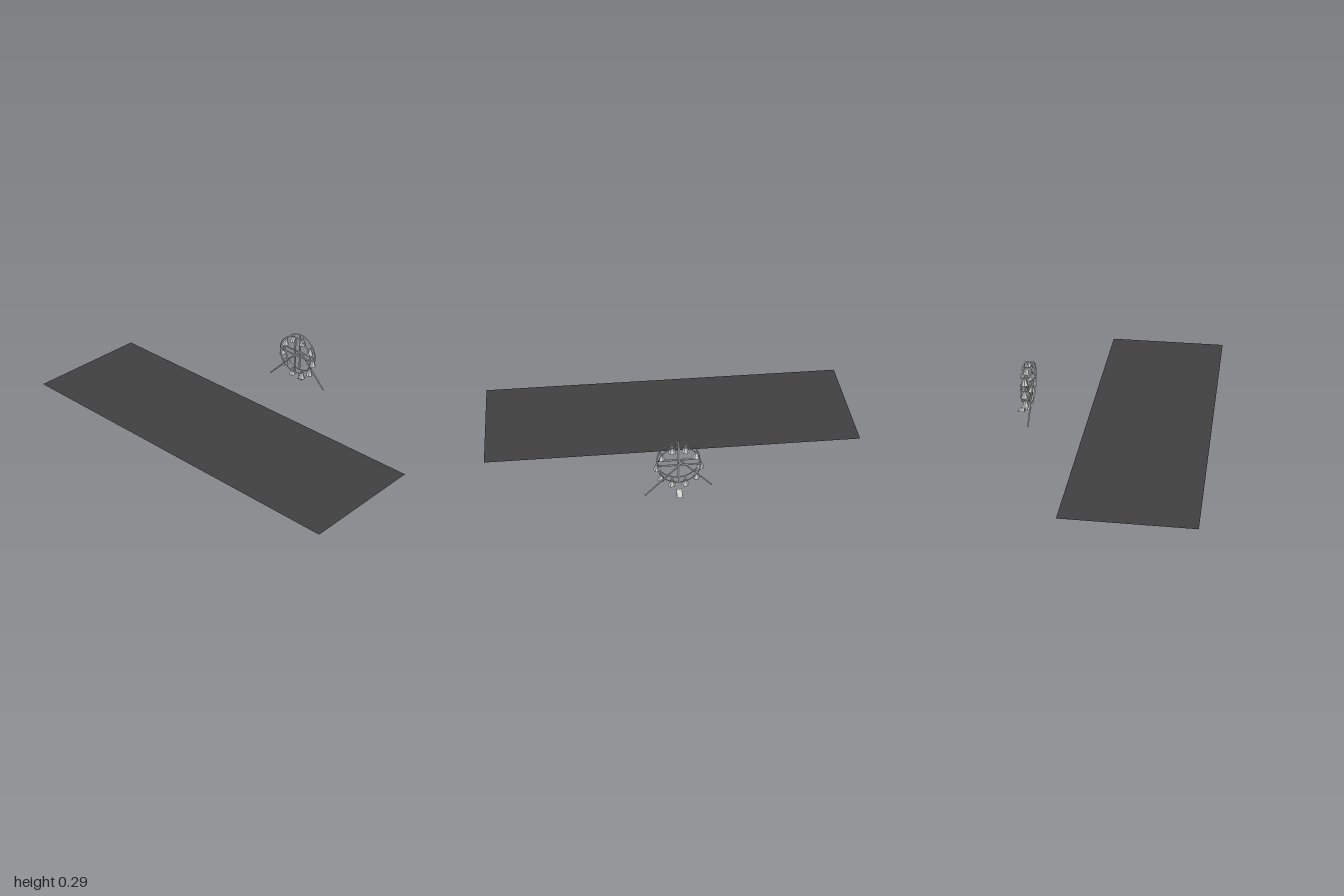
import * as THREE from 'three';

const grey = new THREE.MeshStandardMaterial({ color: 0xcccccc, flatShading: true, side: THREE.DoubleSide });
const asphalt = new THREE.MeshStandardMaterial({ color: 0x404040, side: THREE.DoubleSide });

const HUB = new THREE.Vector3(0.463, 0.178, 0.014); // wheel centre
const R = 0.109;                                    // wheel radius
const RING_X = 0.02;                                // ring offset from the hub

function add(parent, name, geometry, x = 0, y = 0, z = 0, material = grey) {
  const mesh = new THREE.Mesh(geometry, material);
  mesh.name = name;
  mesh.position.set(x, y, z);
  parent.add(mesh);
  return mesh;
}

// Round bar along x
function crossBar(parent, name, radius, length, y, z) {
  const bar = add(parent, name, new THREE.CylinderGeometry(radius, radius, length, 8), 0, y, z);
  bar.rotation.z = Math.PI / 2;
}

// Flat hoop around the x axis
function hoop() {
  const w = 0.0035, t = 0.001;
  const profile = [[R - t, -w], [R + t, -w], [R + t, w], [R - t, w], [R - t, -w]]
    .map(([r, h]) => new THREE.Vector2(r, h));
  return new THREE.LatheGeometry(profile, 48).rotateZ(Math.PI / 2);
}

export function createModel() {
  const model = new THREE.Group();
  model.name = 'fairground';

  // Flat ground strip beside the wheel
  const ground = add(model, 'groundStrip', new THREE.PlaneGeometry(0.664, 2), -0.196, 0.0005, 0, asphalt);
  ground.rotation.x = -Math.PI / 2;

  // Wheel: two hoops, each with a cross of spokes
  const wheel = new THREE.Group();
  wheel.name = 'wheel';
  wheel.position.copy(HUB);
  model.add(wheel);
  for (const side of [-1, 1]) {
    add(wheel, 'ring', hoop(), side * RING_X);
    add(wheel, 'verticalSpoke', new THREE.BoxGeometry(0.006, 2 * R, 0.007), side * RING_X);
    add(wheel, 'horizontalSpoke', new THREE.BoxGeometry(0.006, 0.007, 2 * R), side * RING_X);
  }
  crossBar(wheel, 'axle', 0.005, 0.059, 0, 0);

  // Ten gondolas hanging upright from bars between the rings
  const cabin = new THREE.CylinderGeometry(0.007, 0.0195, 0.037, 6);
  for (let i = 0; i < 10; i++) {
    const a = (i * Math.PI) / 5;
    const y = R * Math.sin(a), z = R * Math.cos(a);
    crossBar(wheel, 'gondolaBar', 0.002, 2 * RING_X, y, z);
    add(wheel, 'gondola', cabin, 0, y - 0.021, z);
  }

  // One slanted leg on each side, leaning opposite ways
  for (const side of [-1, 1]) {
    const dz = side * 0.172;
    const leg = add(model, 'leg', new THREE.CylinderGeometry(0.004, 0.004, Math.hypot(dz, HUB.y), 8),
      HUB.x + side * 0.0255, HUB.y / 2 + 0.001, HUB.z + dz / 2);
    leg.rotation.x = -Math.atan2(dz, HUB.y);
  }

  // Boarding ramp
  const ramp = new THREE.Shape([[0.488, 0], [0.527, 0], [0.522, 0.006], [0.488, 0.028]]
    .map(([x, y]) => new THREE.Vector2(x, y)));
  add(model, 'boardingRamp', new THREE.ExtrudeGeometry(ramp, { depth: 0.028, bevelEnabled: false }), 0, 0, 0);

  return model;
}
